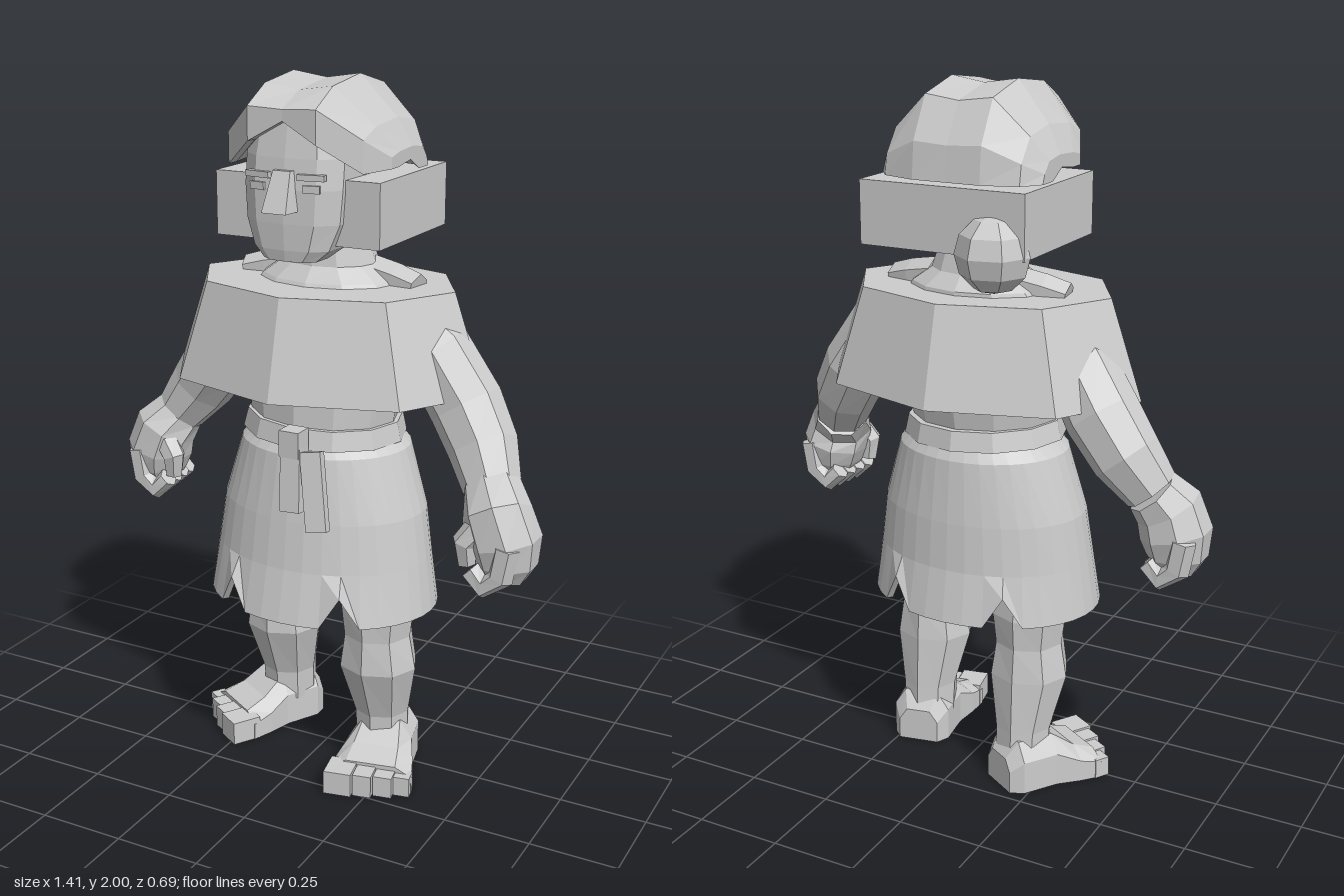
import * as THREE from 'three';

const V = (x, y, z) => new THREE.Vector3(x, y, z);
const clay = new THREE.MeshStandardMaterial({ color: 0xcccccc });
clay.name = 'clay grey';

// Faceted closed skin over rings of equal point count, turned outward by its signed volume
function loft(rings) {
  const tris = [], n = rings[0].length;
  for (let i = 0; i < rings.length - 1; i++) {
    for (let j = 0; j < n; j++) {
      const k = (j + 1) % n, a = rings[i], b = rings[i + 1];
      tris.push([a[j], a[k], b[k]], [a[j], b[k], b[j]]);
    }
  }
  [rings[0], rings[rings.length - 1]].forEach((r, e) => {
    const c = r.reduce((s, p) => s.add(p), V(0, 0, 0)).divideScalar(n);
    for (let j = 0; j < n; j++) {
      const k = (j + 1) % n;
      tris.push(e ? [c, r[j], r[k]] : [c, r[k], r[j]]);
    }
  });
  let volume = 0;
  for (const [a, b, c] of tris) volume += a.dot(b.clone().cross(c));
  if (volume < 0) tris.forEach((t) => t.reverse());
  const g = new THREE.BufferGeometry().setFromPoints(tris.flat());
  g.computeVertexNormals();
  return g;
}

// Level oval ring
function oval(x, y, z, rx, rz, n = 10, lift = () => 0) {
  return Array.from({ length: n }, (_, i) => {
    const a = (i / n) * Math.PI * 2;
    return V(x + Math.sin(a) * rx, y + lift(i), z + Math.cos(a) * rz);
  });
}

// Tapered limb through [x, y, z, radius] stations
function limb(st, n = 8) {
  const p = st.map((s) => V(s[0], s[1], s[2]));
  return loft(p.map((c, i) => {
    const d = p[Math.min(i + 1, p.length - 1)].clone().sub(p[Math.max(i - 1, 0)]).normalize();
    const u = V(0, 0, 1).addScaledVector(d, -d.z).normalize();
    const w = d.clone().cross(u);
    return Array.from({ length: n }, (_, j) => {
      const a = ((j + 0.5) / n) * Math.PI * 2;
      return c.clone().addScaledVector(u, Math.cos(a) * st[i][3]).addScaledVector(w, Math.sin(a) * st[i][3]);
    });
  }));
}

const flat = (g) => {
  const f = g.toNonIndexed();
  f.computeVertexNormals();
  return f;
};

export function createModel() {
  const root = new THREE.Group();
  const add = (name, geo, parent = root) => {
    const m = new THREE.Mesh(geo, clay);
    m.name = name;
    parent.add(m);
    return m;
  };
  const box = (name, w, h, d, x, y, z, parent = root) => {
    const m = add(name, new THREE.BoxGeometry(w, h, d), parent);
    m.position.set(x, y, z);
    return m;
  };

  // Torso and neck
  add('torso', loft([
    [0.92, 0, 0.2, 0.17], [1.06, 0.015, 0.215, 0.185], [1.17, 0.005, 0.23, 0.195],
    [1.36, 0, 0.27, 0.18], [1.45, -0.02, 0.2, 0.15], [1.49, -0.02, 0.14, 0.115],
    [1.6, -0.01, 0.105, 0.09],
  ].map(([y, z, rx, rz]) => oval(0, y, z, rx, rz, 12))));
  for (const s of [-1, 1]) {
    add('shoulderTop', limb([[s * 0.12, 1.46, -0.04, 0.05], [s * 0.2, 1.445, -0.03, 0.05], [s * 0.265, 1.43, -0.02, 0.045]], 6));
  }

  // Cape: eight-sided flattened frustum
  const cape = flat(new THREE.CylinderGeometry(0.385, 0.48, 0.275, 8).scale(1, 1, 0.715));
  add('cape', cape).position.y = 1.3025;

  // Skirt: shell with four narrow hem slits
  const slit = (i) => ([3, 15, 21, 33].includes(i) ? 0.09 : 0);
  const skirt = [
    [1.03, 0, 0.2, 0.18], [0.98, 0.005, 0.25, 0.21], [0.8, 0.012, 0.305, 0.232], [0.66, 0.018, 0.325, 0.245],
    [0.512, 0.022, 0.345, 0.275, 1], [0.512, 0.022, 0.325, 0.255, 1], [0.7, 0.012, 0.3, 0.222], [0.9, 0, 0.22, 0.18],
  ];
  add('skirt', loft(skirt.map(([y, z, rx, rz, hem]) => oval(0, y, z, rx, rz, 36, hem ? slit : undefined))));

  // Belt, knot and hanging ends
  const belt = add('belt', flat(new THREE.CylinderGeometry(0.225, 0.238, 0.055, 12).scale(1, 1, 0.9)));
  belt.position.set(0, 1.035, 0.012);
  belt.rotation.z = -0.03;
  box('beltKnot', 0.06, 0.075, 0.06, 0.025, 1.035, 0.245);
  const endA = box('beltEnd', 0.06, 0.18, 0.03, 0.03, 0.935, 0.265);
  endA.rotation.set(-0.13, 0, 0.05);
  const endB = box('beltEnd', 0.06, 0.22, 0.03, 0.1, 0.91, 0.265);
  endB.rotation.set(-0.18, 0.1, 0.17);

  // Head, with a broad flattened face
  add('head', loft([
    [1.53, 0.15, 0.08, 0.09], [1.56, 0.11, 0.115, 0.135], [1.63, 0.07, 0.143, 0.178],
    [1.72, 0.06, 0.15, 0.187], [1.8, 0.05, 0.15, 0.187], [1.92, 0.04, 0.13, 0.175],
  ].map(([y, z, rx, rz]) => {
    const r = oval(0, y, z, rx, rz, 12);
    for (const [near, far, s] of [[1, 2, 1], [11, 10, -1]]) {
      r[near].set(s * rx * 0.6, y, z + rz * 0.95);
      r[far].set(s * rx * 0.97, y, z + rz * 0.7);
    }
    return r;
  })));
  add('nose', loft([[1.77, 0.032, 0.255], [1.665, 0.045, 0.3]].map(([y, w, z]) =>
    [V(-w, y, 0.2), V(w, y, 0.2), V(w * 0.8, y, z), V(-w * 0.8, y, z)])));
  for (const s of [-1, 1]) {
    box('brow', 0.075, 0.016, 0.02, s * 0.078, 1.755, 0.236).rotation.y = s * 0.15;
    box('eye', 0.045, 0.02, 0.009, s * 0.08, 1.725, 0.24).rotation.y = s * 0.15;
  }

  // Band round the back and sides of the head
  box('headBand', 0.49, 0.175, 0.42, 0, 1.6575, -0.033);

  // Hair: front-to-back slices set side by side, parted at the middle
  // slice: x, fringe height, crown height, front z, back z
  const half = [[0.1, 1.84, 2.0, 0.255, -0.215], [0.2, 1.765, 1.89, 0.185, -0.185], [0.24, 1.77, 1.815, 0.1, -0.13]];
  const slices = [...half.map(([x, ...r]) => [-x, ...r]).reverse(), [0, 1.895, 1.985, 0.25, -0.215], ...half];
  add('hair', loft(slices.map(([x, lo, hi, f, b]) => {
    const m = (f + b) / 2, back = 1.75, h = hi - back;
    return [
      V(x, lo, f - 0.04), V(x, lo, f), V(x, Math.max(lo + 0.03, back + h * 0.72), f),
      V(x, back + h * 0.92, m + (f - m) * 0.6), V(x, hi, m - 0.015),
      V(x, back + h * 0.86, m + (b - m) * 0.68), V(x, back + h * 0.4, b + 0.01),
      V(x, back, b), V(x, back, b + 0.06), V(x, lo + 0.01, m),
    ];
  })));
  add('hairBun', flat(new THREE.SphereGeometry(0.105, 7, 6))).position.set(-0.147, 1.578, -0.222);

  // Arms and fists: side, arm stations, hand centre
  const arms = [
    ['leftArm', 1, [[0.22, 1.36, 0.01, 0.09], [0.345, 1.27, 0.02, 0.1], [0.435, 1.14, 0.025, 0.103],
      [0.5, 1.04, 0.055, 0.097], [0.55, 0.95, 0.105, 0.08]], V(0.59, 0.83, 0.165)],
    ['rightArm', -1, [[-0.22, 1.35, 0, 0.09], [-0.32, 1.25, -0.05, 0.1], [-0.4, 1.14, -0.08, 0.105],
      [-0.48, 1.04, -0.095, 0.097], [-0.55, 0.95, -0.08, 0.077]], V(-0.59, 0.83, -0.055)],
  ];
  for (const [name, s, st, c] of arms) {
    const arm = new THREE.Group();
    arm.name = name;
    root.add(arm);
    add('arm', limb(st), arm);
    add('palm', limb([st[st.length - 1], [c.x, c.y + 0.07, c.z, 0.095], [c.x + s * 0.025, c.y, c.z, 0.1],
      [c.x + s * 0.03, c.y - 0.06, c.z, 0.085], [c.x + s * 0.025, c.y - 0.1, c.z, 0.06]]), arm);
    for (let i = 0; i < 4; i++) {
      const z = c.z + (i - 1.5) * 0.043, x = c.x - s * i * 0.005;
      add('finger', limb([[x + s * 0.07, c.y + 0.01, z, 0.036], [x + s * 0.055, c.y - 0.075, z, 0.037],
        [x + s * 0.01, c.y - 0.11, z, 0.035], [x - s * 0.03, c.y - 0.07, z, 0.03]], 6), arm);
    }
    add('thumb', limb([[c.x - s * 0.02, c.y + 0.06, c.z + 0.045, 0.038],
      [c.x - s * 0.065, c.y, c.z + 0.06, 0.035], [c.x - s * 0.06, c.y - 0.06, c.z + 0.055, 0.026]], 6), arm);
  }

  // Legs and feet: name, side, x, z offset, foot turn
  for (const [name, s, x, z, turn] of [['leftLeg', 1, 0.2, 0, 0.2], ['rightLeg', -1, -0.195, -0.12, -0.55]]) {
    const leg = new THREE.Group();
    leg.name = name;
    leg.position.set(x, 0, z);
    root.add(leg);
    add('leg', loft([
      [0.72, 0.055, 0.08, 0.08], [0.52, 0.05, 0.112, 0.112], [0.43, 0.05, 0.1, 0.105],
      [0.33, 0.048, 0.118, 0.112], [0.17, 0.015, 0.082, 0.085], [0.08, 0.01, 0.08, 0.085],
    ].map(([y, cz, rx, rz]) => oval(-s * 0.008, y, cz, rx, rz, 8))), leg);
    const foot = new THREE.Group();
    foot.name = 'foot';
    foot.rotation.y = turn;
    leg.add(foot);
    add('sole', loft([[-0.085, 0.06, 0.1], [-0.05, 0.085, 0.15], [0.06, 0.09, 0.15], [0.13, 0.11, 0.1], [0.195, 0.122, 0.075]]
      .map(([fz, w, h]) => [V(-w, 0, fz), V(w, 0, fz), V(w, h * 0.65, fz), V(w * 0.6, h, fz),
        V(-w * 0.6, h, fz), V(-w, h * 0.65, fz)])), foot);
    // Toes, largest on the inner side
    [[-0.08, 0.08, 0.09], [-0.01, 0.054, 0.08], [0.047, 0.054, 0.065], [0.098, 0.046, 0.045]].forEach(([tx, w, len], i) => {
      const h = 0.07 - i * 0.004;
      box('toe', w, h, len, s * tx, h / 2, 0.175 + len / 2, foot);
    });
  }
  return root;
}
